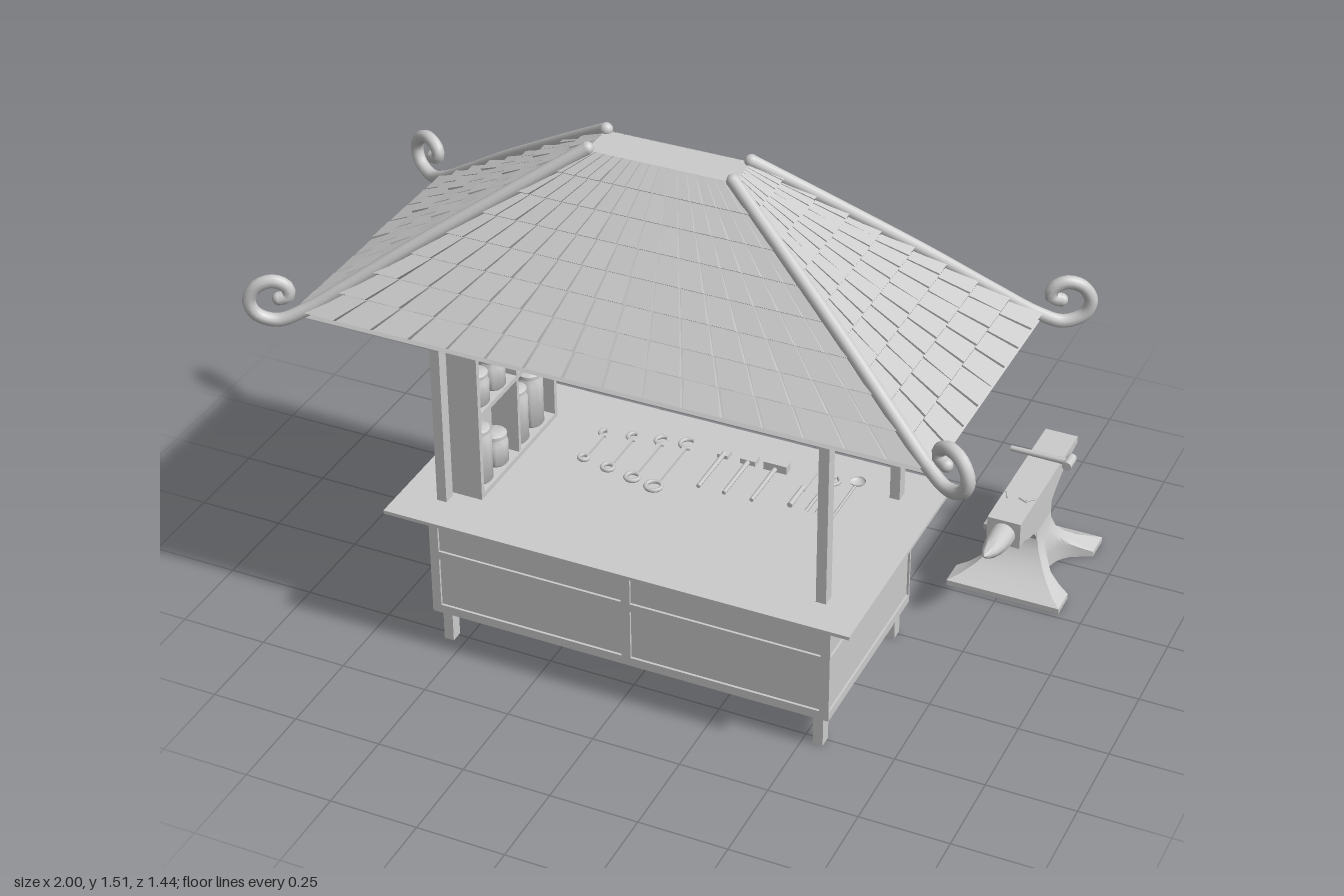
import * as THREE from 'three';
import { mergeGeometries, toCreasedNormals } from 'three/addons/utils/BufferGeometryUtils.js';

const V = (x, y, z) => new THREE.Vector3(x, y, z);
const material = new THREE.MeshStandardMaterial({ color: 0xcccccc });
const doubleMaterial = new THREE.MeshStandardMaterial({ color: 0xcccccc, side: THREE.DoubleSide });

function add(parent, name, geometry, mat = material) {
  const mesh = new THREE.Mesh(geometry, mat);
  mesh.name = name;
  parent.add(mesh);
  return mesh;
}

// Box given by its minimum and maximum on each axis
function box(parent, name, x0, x1, y0, y1, z0, z1) {
  const g = new THREE.BoxGeometry(x1 - x0, y1 - y0, z1 - z0);
  return add(parent, name, g.translate((x0 + x1) / 2, (y0 + y1) / 2, (z0 + z1) / 2));
}

// Unit box whose corner signs are mapped to new positions
function warpedBox(rule) {
  const g = new THREE.BoxGeometry(2, 2, 2);
  const p = g.attributes.position;
  for (let i = 0; i < p.count; i++) {
    const v = rule(p.getX(i), p.getY(i), p.getZ(i));
    p.setXYZ(i, v.x, v.y, v.z);
  }
  g.computeVertexNormals();
  return g;
}

// Roof slope: t runs from ridge (0) to eave (1)
const TOP = 1.49, DROP = 0.46, MID = 0.255;
const halfX = t => 0.2 + 0.67 * t;
const halfZ = t => 0.055 + 0.335 * t;

function tiledFace(width, depth, rows, columns) {
  const run = depth(1) - depth(0), len = Math.hypot(run, DROP);
  const normal = V(0, run / len, DROP / len);
  const tiles = [];
  for (let r = 0; r < rows; r++) {
    for (let c = 0; c < columns; c++) {
      const shift = ((r * 7 + c * 5) % 4) * 0.0012; // slightly uneven laying
      tiles.push(warpedBox((sx, sy, sz) => {
        const t = (sy > 0 ? r : r + 0.97) / rows;
        const u = -1 + (2 * (c + (sx > 0 ? 0.96 : 0.04))) / columns;
        const lift = sz < 0 ? -0.004 : sy > 0 ? 0.002 : 0.011 + shift;
        return V(u * width(t), TOP - DROP * t, depth(t)).addScaledVector(normal, lift);
      }));
    }
  }
  return mergeGeometries(tiles);
}

function buildRoof() {
  const roof = new THREE.Group();
  roof.name = 'roof';
  roof.position.z = MID;
  add(roof, 'roofCore', warpedBox((x, y, z) => (y > 0
    ? V(x * halfX(0), TOP, z * halfZ(0))
    : V(x * halfX(1), TOP - DROP - 0.01, z * halfZ(1)))));
  for (let k = 0; k < 4; k++) {
    const g = k % 2 ? tiledFace(halfZ, halfX, 9, 8) : tiledFace(halfX, halfZ, 8, 16);
    add(roof, k % 2 ? 'sideTiles' : 'longTiles', g).rotation.y = k * Math.PI / 2;
  }
  // Hip poles ending in upturned scrolls
  const path = [[0.2, 1.495], [0.4, 1.36], [0.6, 1.222], [0.76, 1.105], [0.86, 1.035],
    [0.92, 1.01], [0.967, 1.03], [0.981, 1.07], [0.96, 1.112], [0.922, 1.126],
    [0.892, 1.108], [0.89, 1.082], [0.912, 1.074]];
  for (const sx of [-1, 1]) for (const sz of [-1, 1]) {
    const pts = path.map(([x, y]) => V(sx * x, y, sz * (0.055 + (x - 0.2) * 0.5)));
    const curve = new THREE.CatmullRomCurve3(pts);
    add(roof, 'hipPole', new THREE.TubeGeometry(curve, 90, 0.018, 10));
    for (const end of [pts[0], pts[pts.length - 1]]) {
      add(roof, 'poleEnd', new THREE.SphereGeometry(0.018, 10, 8)).position.copy(end);
    }
  }
  return roof;
}

function buildCounter() {
  const g = new THREE.Group();
  g.name = 'counter';
  box(g, 'body', -0.574, 0.574, 0.1, 0.45, -0.018, 0.538);
  box(g, 'counterTop', -0.665, 0.665, 0.45, 0.46, -0.11, 0.63);
  for (const x of [-0.545, 0.545]) for (const z of [0.005, 0.51]) {
    box(g, 'post', x - 0.014, x + 0.014, 0, 1.03, z - 0.018, z + 0.018);
  }
  // Raised framing round the drawer panels
  for (const [y0, y1] of [[0.1, 0.126], [0.278, 0.303], [0.425, 0.45]]) {
    box(g, 'rail', -0.58, 0.58, y0, y1, -0.025, 0.545);
  }
  for (const z of [-0.0215, 0.5415]) for (const x of [-0.567, 0, 0.567]) {
    box(g, 'stile', x - 0.013, x + 0.013, 0.1, 0.45, z - 0.0035, z + 0.0035);
  }
  return g;
}

function buildCabinet() {
  const g = new THREE.Group();
  g.name = 'cabinet';
  const x0 = -0.545, x1 = -0.45;
  box(g, 'cabinetBack', x0, x0 + 0.01, 0.46, 0.985, 0.035, 0.48);
  for (const z of [0.035, 0.465]) box(g, 'cabinetSide', x0, x1, 0.46, 0.985, z, z + 0.015);
  for (const y of [0.46, 0.97]) box(g, 'cabinetBoard', x0, x1, y, y + 0.015, 0.035, 0.48);
  box(g, 'shelf', x0, x1 - 0.004, 0.705, 0.72, 0.05, 0.465);
  box(g, 'divider', x0, x1 - 0.004, 0.475, 0.97, 0.244, 0.256);
  // Jars: z, shelf height, jar height
  const jars = [[0.41, 0.72, 0.095], [0.32, 0.72, 0.095], [0.2, 0.72, 0.092], [0.11, 0.72, 0.165],
    [0.41, 0.475, 0.165], [0.32, 0.475, 0.095], [0.2, 0.475, 0.165], [0.11, 0.475, 0.165]];
  for (const [z, y, h] of jars) {
    const profile = [[0, 0], [0.033, 0], [0.037, 0.006], [0.037, h - 0.028], [0.03, h - 0.016],
      [0.03, h - 0.013], [0.034, h - 0.012], [0.034, h - 0.002], [0.031, h], [0, h]];
    const lathe = new THREE.LatheGeometry(profile.map(([r, v]) => new THREE.Vector2(r, v)), 20);
    add(g, 'jar', toCreasedNormals(lathe, 0.7)).position.set(-0.493, y, z);
  }
  return g;
}

function buildTools() {
  const g = new THREE.Group();
  g.name = 'tools';
  const Y = 0.46;
  // Wrenches with an open jaw and a ring end
  [[-0.29, 0.13], [-0.21, 0.16], [-0.13, 0.19], [-0.06, 0.22]].forEach(([x, len], i) => {
    const r = 0.013 + i * 0.003, z1 = 0.13 + len / 2, z0 = 0.13 - len / 2;
    box(g, 'wrenchShaft', x - 0.006, x + 0.006, Y, Y + 0.01, z0 + r, z1 - r);
    add(g, 'wrenchRing', new THREE.TorusGeometry(r, 0.006, 6, 16).rotateX(Math.PI / 2)).position.set(x, Y + 0.006, z1);
    const jaw = new THREE.TorusGeometry(r, 0.006, 6, 14, 4.4).rotateZ(-0.63).rotateX(Math.PI / 2);
    add(g, 'wrenchJaw', jaw.rotateY(-Math.PI / 2)).position.set(x, Y + 0.006, z0);
  });
  // Hammers
  [[0.05, 0.016, 0.011], [0.125, 0.022, 0.015], [0.205, 0.034, 0.024]].forEach(([x, w, h]) => {
    const handle = new THREE.CylinderGeometry(0.006, 0.007, 0.17, 8).rotateX(Math.PI / 2);
    add(g, 'hammerHandle', handle).position.set(x, Y + 0.008, 0.11);
    box(g, 'hammerHead', x - w, x + w, Y, Y + h, 0.01, 0.038);
  });
  // Chisel, pincers and ladle
  box(g, 'chiselBlade', 0.3, 0.314, Y, Y + 0.006, 0.0, 0.09);
  add(g, 'chiselHandle', new THREE.CylinderGeometry(0.008, 0.007, 0.09, 8).rotateX(Math.PI / 2)).position.set(0.307, Y + 0.008, 0.13);
  for (const s of [-1, 1]) {
    const arm = [V(s * 0.004, 0, -0.04), V(s * 0.016, 0, -0.02), V(-s * 0.002, 0, 0.01), V(-s * 0.012, 0, 0.06), V(-s * 0.014, 0, 0.14)];
    add(g, 'pincerArm', new THREE.TubeGeometry(new THREE.CatmullRomCurve3(arm), 20, 0.005, 6)).position.set(0.37, Y + 0.006, 0.04);
  }
  add(g, 'ladleHandle', new THREE.CylinderGeometry(0.004, 0.004, 0.16, 6).rotateX(Math.PI / 2)).position.set(0.43, Y + 0.006, 0.1);
  add(g, 'ladleBowl', new THREE.SphereGeometry(0.022, 14, 6, 0, Math.PI * 2, Math.PI / 2, Math.PI / 2).scale(1, 0.5, 1), doubleMaterial).position.set(0.43, Y + 0.011, 0.0);
  return g;
}

// Flared anvil foot: stacked rectangles with round scoops in both sides
function footGeometry() {
  const n = 24, pos = [], index = [];
  const levels = [[0, 0.165, 0.187], [0.016, 0.165, 0.187], [0.03, 0.135, 0.16], [0.05, 0.105, 0.125],
    [0.075, 0.08, 0.095], [0.105, 0.06, 0.07], [0.14, 0.049, 0.058], [0.19, 0.046, 0.06]];
  const ring = 2 * (n + 1);
  for (const [y, hx, hz] of levels) for (const s of [1, -1]) for (let i = 0; i <= n; i++) {
    const z = s * hz * (1 - (2 * i) / n);
    const scoop = Math.abs(z) < 0.1 ? 0.168 - Math.sqrt(0.01 - z * z) : 1;
    pos.push(s * Math.min(hx, scoop), y, z);
  }
  for (let l = 0; l < levels.length - 1; l++) for (let i = 0; i < ring; i++) {
    const a = l * ring + i, b = l * ring + (i + 1) % ring;
    index.push(a, b, b + ring, a, b + ring, a + ring);
  }
  // Bottom cap joins matching points of the two sides
  for (let i = 0; i < n; i++) {
    const a = i, b = i + 1, c = ring - 1 - i, d = ring - 2 - i;
    index.push(a, c, b, b, c, d);
  }
  const g = new THREE.BufferGeometry();
  g.setAttribute('position', new THREE.Float32BufferAttribute(pos, 3));
  g.setIndex(index);
  return toCreasedNormals(g, 0.6);
}

function buildAnvil() {
  const g = new THREE.Group();
  g.name = 'anvil';
  g.position.set(0.765, 0, -0.453);
  add(g, 'foot', footGeometry(), doubleMaterial);
  // Upper block, drawn from the side and extruded across
  const s = new THREE.Shape();
  s.moveTo(0.208, 0.28);
  s.lineTo(-0.267, 0.28);
  s.lineTo(-0.267, 0.258);
  s.lineTo(-0.18, 0.25);
  s.quadraticCurveTo(-0.09, 0.215, -0.06, 0.19);
  s.lineTo(-0.06, 0.13);
  s.lineTo(0.058, 0.13);
  s.quadraticCurveTo(0.07, 0.175, 0.12, 0.178);
  s.lineTo(0.165, 0.2);
  s.lineTo(0.208, 0.2);
  const block = new THREE.ExtrudeGeometry(s, { depth: 0.096, bevelEnabled: false });
  add(g, 'block', block.translate(0, 0, -0.048).rotateY(-Math.PI / 2));
  // Horn: a pointed lathe bent so its top stays nearly level
  const radii = [[0, 0], [0.034, 0], [0.034, 0.03], [0.03, 0.07], [0.022, 0.11], [0.012, 0.14], [0.004, 0.154], [0, 0.157]];
  const horn = new THREE.LatheGeometry(radii.map(([r, y]) => new THREE.Vector2(r, y)), 18).rotateX(Math.PI / 2);
  const p = horn.attributes.position;
  for (let i = 0; i < p.count; i++) p.setY(i, p.getY(i) + 0.026 * (p.getZ(i) / 0.157) ** 2);
  add(g, 'horn', toCreasedNormals(horn, 0.8)).position.set(0, 0.237, 0.207);
  // Hammer and small nails left on the face
  add(g, 'smallHammerHandle', new THREE.CylinderGeometry(0.008, 0.01, 0.17, 8).rotateZ(Math.PI / 2)).position.set(-0.012, 0.295, -0.113);
  add(g, 'smallHammerHead', new THREE.CylinderGeometry(0.014, 0.014, 0.05, 10).rotateX(Math.PI / 2)).position.set(0.075, 0.295, -0.113);
  for (const [x, z, a] of [[-0.035, 0.09, 0.4], [0.015, 0.098, 1.1], [0.035, 0.088, -0.8]]) {
    const nail = add(g, 'nail', new THREE.CylinderGeometry(0.003, 0.003, 0.03, 6).rotateX(Math.PI / 2));
    nail.position.set(x, 0.283, z);
    nail.rotation.y = a;
  }
  return g;
}

export function createModel() {
  const model = new THREE.Group();
  model.name = 'smithStall';
  model.add(buildRoof(), buildCounter(), buildCabinet(), buildTools(), buildAnvil());
  return model;
}
